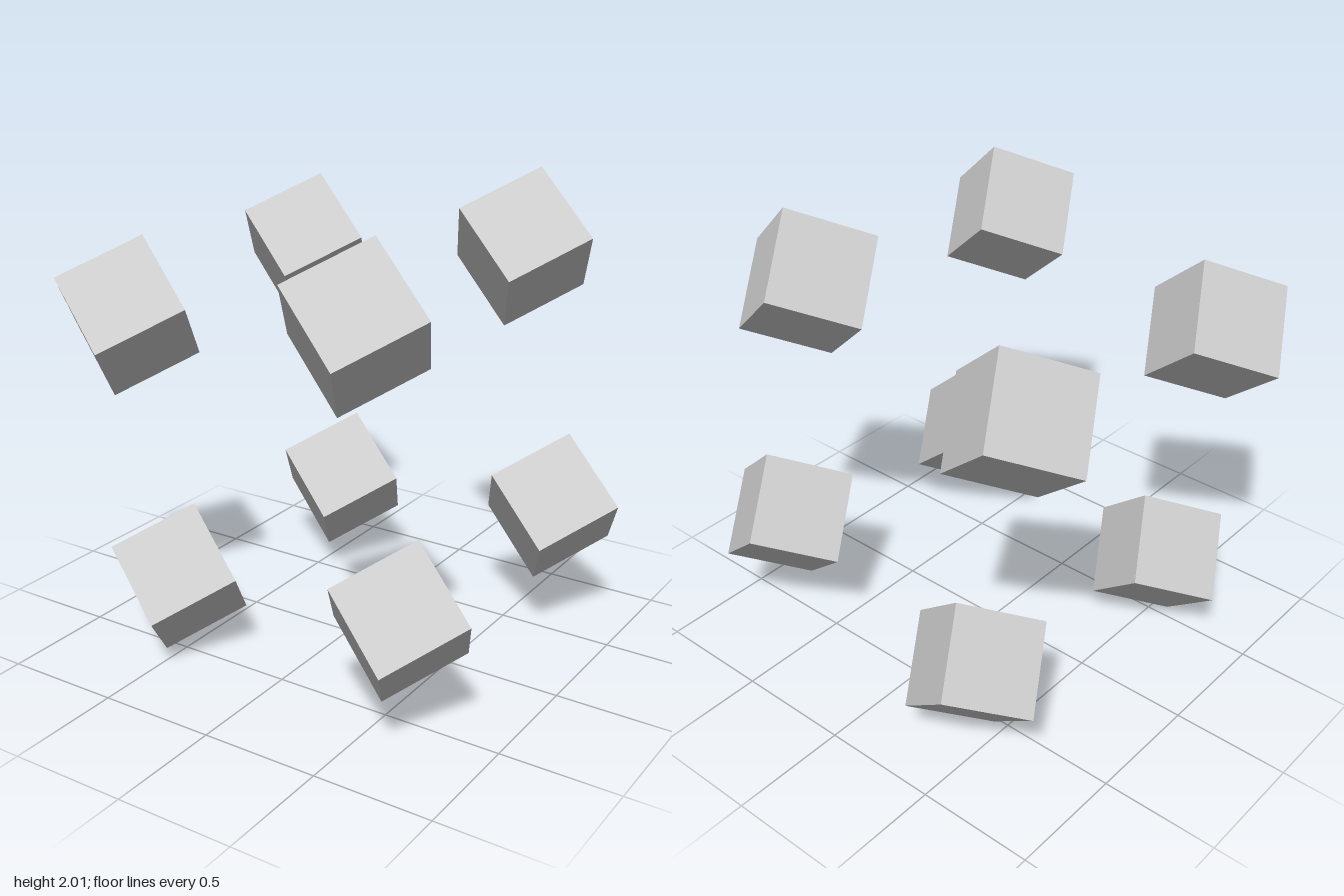
import * as THREE from 'three';

const SIDE = 0.383;

export function createModel() {
  const group = new THREE.Group();
  const material = new THREE.MeshStandardMaterial({ color: 0xcccccc, flatShading: true });
  const geometry = new THREE.BoxGeometry(SIDE, SIDE, SIDE);

  // Shared tilt of every cube, from its edge directions
  const a = new THREE.Vector3(-0.278, 0.241, -0.094).normalize();
  const b = new THREE.Vector3(0.225, 0.147, -0.278);
  b.addScaledVector(a, -a.dot(b)).normalize();
  const c = new THREE.Vector3().crossVectors(a, b);
  const tilt = new THREE.Quaternion().setFromRotationMatrix(new THREE.Matrix4().makeBasis(a, b, c));

  // Steps of the tilted 2 x 2 x 2 lattice
  const across = new THREE.Vector3(1.131, 0.15, 0.083);
  const up = new THREE.Vector3(-0.153, 1.135, 0.068);
  const forward = new THREE.Vector3(-0.073, -0.077, 1.138);

  for (const i of [-0.5, 0.5]) {
    for (const j of [-0.5, 0.5]) {
      for (const k of [-0.5, 0.5]) {
        const cube = new THREE.Mesh(geometry, material);
        cube.name = (j > 0 ? 'upper' : 'lower') + (k > 0 ? 'Front' : 'Back') + (i > 0 ? 'Left' : 'Right') + 'Cube';
        cube.position.set(0, 1, 0)
          .addScaledVector(across, i).addScaledVector(up, j).addScaledVector(forward, k);
        cube.quaternion.copy(tilt);
        group.add(cube);
      }
    }
  }
  return group;
}
